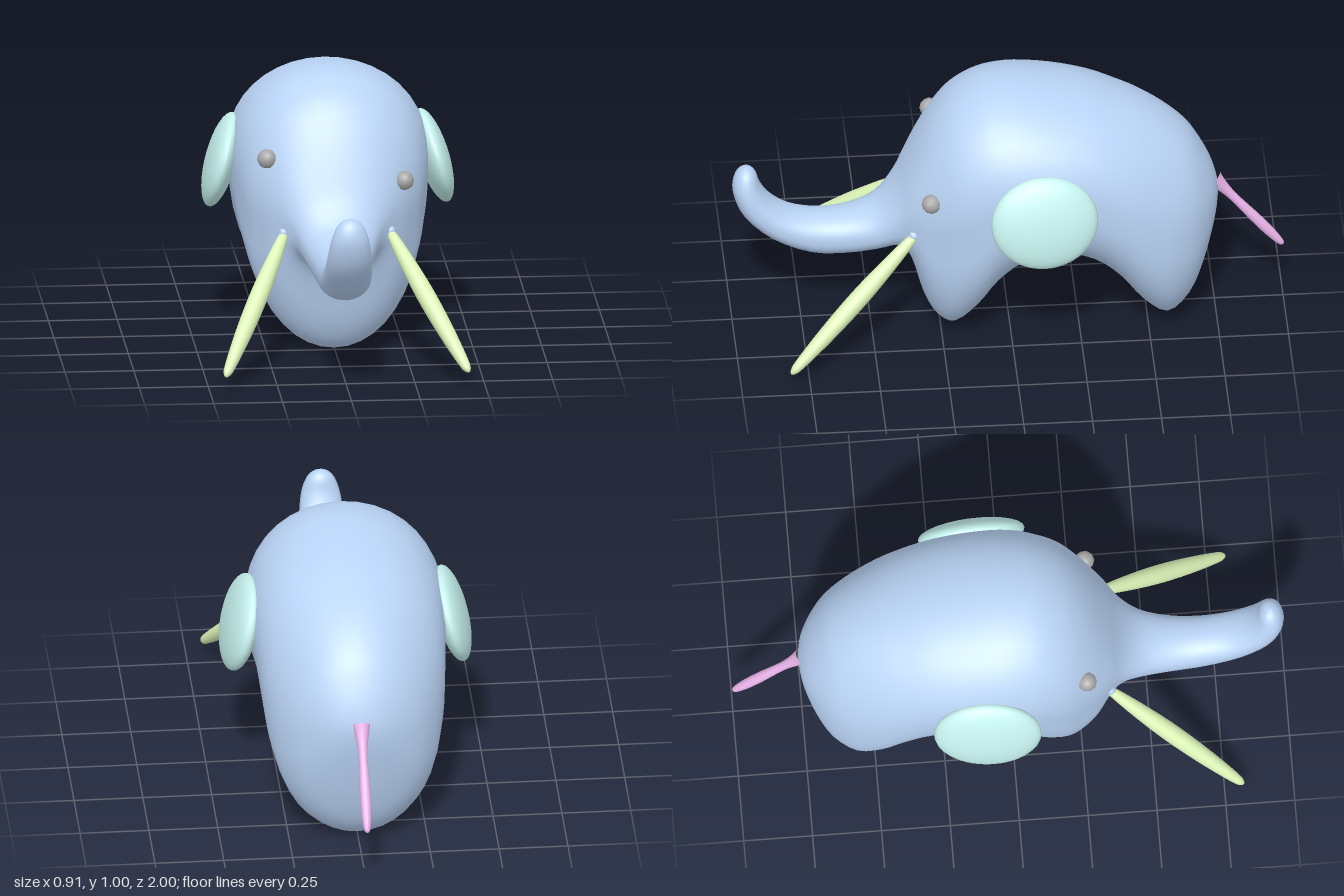
import * as THREE from 'three';

const mat = (color) => new THREE.MeshStandardMaterial({ color, roughness: 0.8 });

// Body sections, tail end to trunk tip: [top z, top y, bottom z, bottom y, half width]
const SECTIONS = [
  [-0.765, 0.5, -0.765, 0.5, 0],
  [-0.755, 0.55, -0.755, 0.42, 0.07],
  [-0.735, 0.61, -0.735, 0.32, 0.125],
  [-0.7, 0.68, -0.7, 0.19, 0.185],
  [-0.65, 0.755, -0.65, 0.07, 0.242],
  [-0.57, 0.825, -0.57, 0.003, 0.293],
  [-0.48, 0.88, -0.48, 0.075, 0.322],
  [-0.4, 0.915, -0.4, 0.185, 0.335],
  [-0.3, 0.952, -0.3, 0.275, 0.345],
  [-0.17, 0.982, -0.17, 0.312, 0.356],
  [-0.04, 1.0, -0.04, 0.275, 0.36],
  [0.05, 0.998, 0.05, 0.19, 0.352],
  [0.12, 0.982, 0.12, 0.08, 0.336],
  [0.2, 0.936, 0.2, 0.001, 0.307],
  [0.26, 0.872, 0.26, 0.025, 0.273],
  [0.31, 0.793, 0.31, 0.12, 0.241],
  [0.36, 0.69, 0.355, 0.28, 0.2],
  [0.41, 0.585, 0.4, 0.335, 0.157],
  [0.48, 0.502, 0.48, 0.315, 0.123],
  [0.58, 0.465, 0.59, 0.296, 0.102],
  [0.69, 0.457, 0.72, 0.303, 0.092],
  [0.79, 0.478, 0.86, 0.368, 0.087],
  [0.86, 0.53, 0.96, 0.465, 0.081],
  [0.898, 0.59, 0.997, 0.56, 0.07],
  [0.912, 0.635, 0.993, 0.62, 0.052],
  [0.93, 0.658, 0.975, 0.652, 0.029],
  [0.954, 0.665, 0.954, 0.665, 0],
];

// Loft rings between the top and bottom profile curves, fuller at the brow and feet
function bodyGeometry(rings = 78, sides = 40) {
  const tops = new THREE.CatmullRomCurve3(
    SECTIONS.map(([z, y, , , w]) => new THREE.Vector3(w, y, z)), false, 'catmullrom');
  const bottoms = new THREE.CatmullRomCurve3(
    SECTIONS.map(([, , z, y]) => new THREE.Vector3(0, y, z)), false, 'catmullrom');
  const pos = [], index = [];
  for (let i = 0; i <= rings; i++) {
    const t = tops.getPoint(i / rings), b = bottoms.getPoint(i / rings);
    const brow = 0.06 + 0.22 * Math.exp(-(((t.z - 0.22) / 0.16) ** 2));
    for (let k = 0; k < sides; k++) {
      const a = (k / sides) * Math.PI * 2, c = Math.cos(a), f = (1 + c) / 2;
      const full = 1 + (c > 0 ? brow * c : -0.06 * c);
      pos.push(t.x * Math.sin(a) * full, b.y + (t.y - b.y) * f, b.z + (t.z - b.z) * f);
      if (i === rings) continue;
      const p = i * sides + k, q = i * sides + ((k + 1) % sides);
      if (i < rings - 1) index.push(q, p + sides, q + sides);
      if (i > 0) index.push(p, p + sides, q);
    }
  }
  const g = new THREE.BufferGeometry();
  g.setAttribute('position', new THREE.Float32BufferAttribute(pos, 3));
  g.setIndex(index);
  g.computeVertexNormals();
  return g;
}

// Lathed spindle running from one point to another; profile is [radius, fraction]
function spindle(name, from, to, profile, material) {
  const a = new THREE.Vector3(...from), dir = new THREE.Vector3(...to).sub(a);
  const len = dir.length();
  const curve = new THREE.SplineCurve(profile.map(([r, f]) => new THREE.Vector2(r, f * len)));
  const pts = curve.getPoints(28).map((p) => p.setX(Math.max(p.x, 0)));
  const mesh = new THREE.Mesh(new THREE.LatheGeometry(pts, 16), material);
  mesh.name = name;
  mesh.position.copy(a);
  mesh.quaternion.setFromUnitVectors(new THREE.Vector3(0, 1, 0), dir.normalize());
  return mesh;
}

export function createModel() {
  const model = new THREE.Group();
  model.name = 'elephant';

  const bodyMat = mat(0xbad4f6);
  const body = new THREE.Mesh(bodyGeometry(), bodyMat);
  body.name = 'bodyAndTrunk';
  model.add(body);

  const earMat = mat(0xc6f2ee), tuskMat = mat(0xdcf4b8), eyeMat = mat(0xaaaaaa);
  const tuskProfile = [[0, 0], [0.014, 0.03], [0.026, 0.2], [0.034, 0.45], [0.031, 0.7], [0.02, 0.93], [0.011, 0.985], [0, 1]];
  const rootProfile = [[0.06, 0], [0.045, 0.4], [0.025, 0.75], [0.012, 0.95], [0, 1]];

  for (const s of [1, -1]) {
    const side = s > 0 ? 'left' : 'right';

    // Flattened ear, leaning outwards at the bottom
    const ear = new THREE.Mesh(new THREE.SphereGeometry(1, 28, 18), earMat);
    ear.name = side + 'Ear';
    ear.scale.set(0.055, 0.175, 0.195);
    ear.position.set(s * 0.386, 0.627, -0.105);
    ear.rotation.set(0, s * 0.06, s * 0.27);
    model.add(ear);

    // Tusk with a short flared root growing out of the cheek
    model.add(spindle(side + 'Tusk', [s * 0.18, 0.48, 0.33], [s * 0.442, 0.05, 0.82], tuskProfile, tuskMat));
    model.add(spindle(side + 'TuskRoot', [s * 0.145, 0.465, 0.29], [s * 0.205, 0.465, 0.37], rootProfile, bodyMat));

    // Eyes sit at slightly different heights
    const eye = new THREE.Mesh(new THREE.IcosahedronGeometry(0.036, 1), eyeMat);
    eye.name = side + 'Eye';
    eye.position.set(s * 0.248, s > 0 ? 0.637 : 0.72, s > 0 ? 0.295 : 0.265);
    model.add(eye);
  }

  model.add(spindle('tail', [0, 0.53, -0.745], [0, 0.222, -1],
    [[0.034, 0], [0.023, 0.12], [0.016, 0.3], [0.019, 0.6], [0.018, 0.82], [0.011, 0.97], [0, 1]], mat(0xeab4ea)));

  return model;
}
